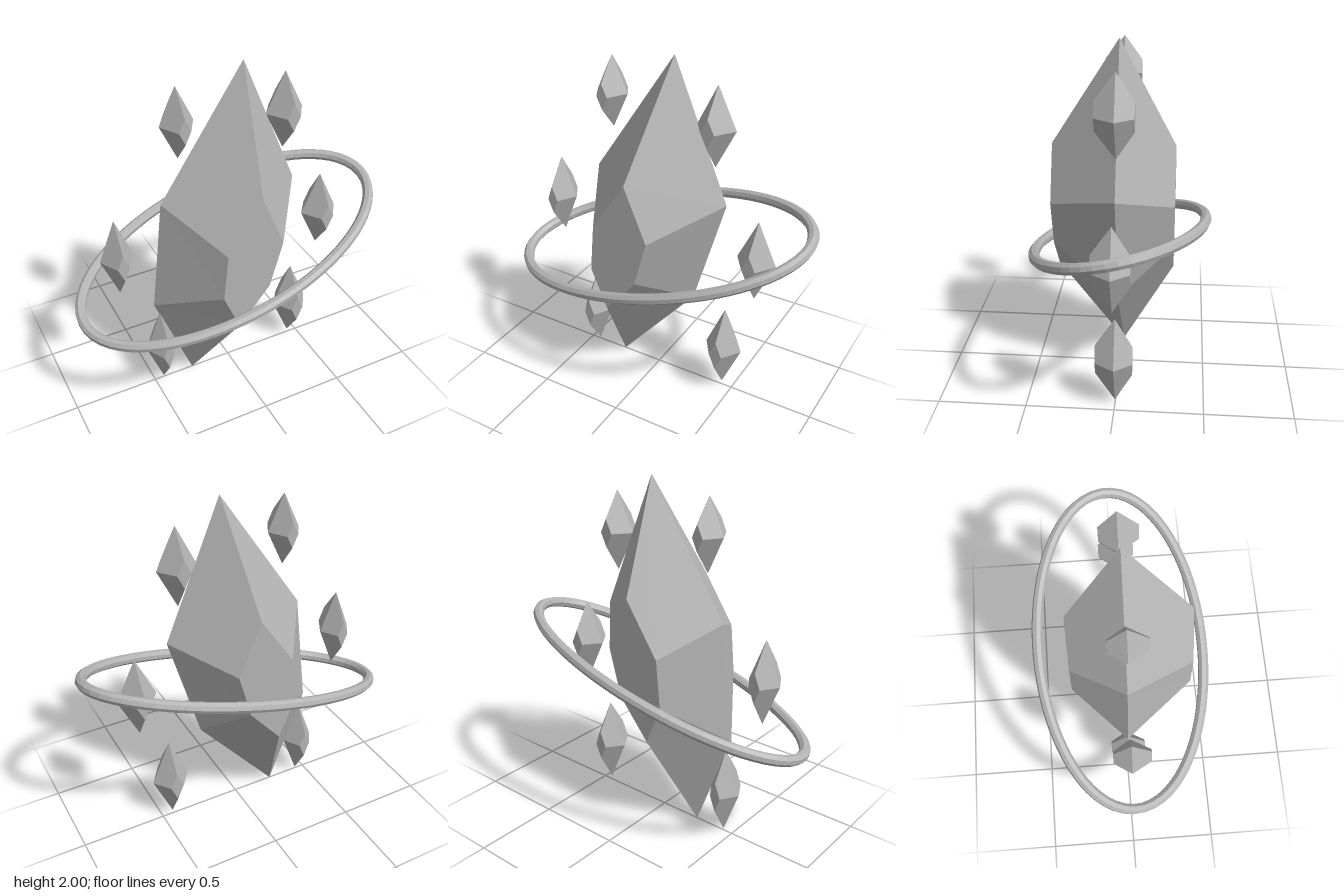
import * as THREE from 'three';

const stone = new THREE.MeshStandardMaterial({ color: 0xb4b4b4 });
stone.name = 'grey stone';
stone.flatShading = true;

// Faceted gem: an outline at z = 0 rising to a smaller flat facet in front and behind.
// Both loops run counter-clockwise seen from the front.
function gemGeometry(outline, facet, front, back) {
  const pos = [];
  const n = outline.length;
  for (const [z, flip] of [[front, false], [-back, true]]) {
    const tri = (a, b, c) => pos.push(...a, ...(flip ? c : b), ...(flip ? b : c));
    const rim = outline.map(([x, y]) => [x, y, 0]);
    const top = facet.map(([x, y]) => [x, y, z]);
    for (let i = 0; i < n; i++) {
      const j = (i + 1) % n;
      tri(rim[i], rim[j], top[j]);
      tri(rim[i], top[j], top[i]);
      if (i > 0 && i < n - 1) tri(top[0], top[i], top[i + 1]);
    }
  }
  const geo = new THREE.BufferGeometry();
  geo.setAttribute('position', new THREE.Float32BufferAttribute(pos, 3));
  geo.computeVertexNormals();
  return geo;
}

function add(group, name, geometry) {
  const mesh = new THREE.Mesh(geometry, stone);
  mesh.name = name;
  group.add(mesh);
  return mesh;
}

export function createModel() {
  const model = new THREE.Group();
  model.name = 'floatingCrystal';

  // Large leaning crystal
  add(model, 'mainCrystal', gemGeometry(
    [[0.09, 2], [-0.4, 1.27], [-0.475, 0.595], [-0.25, 0], [0.23, 0.57], [0.415, 1.22]],
    [[0.01, 1.4], [-0.19, 1.105], [-0.215, 0.83], [-0.12, 0.6], [0.065, 0.82], [0.14, 1.09]],
    0.38, 0.305));

  // Tilted oval ring
  const points = [];
  for (let i = 0; i < 64; i++) {
    const a = (i / 64) * Math.PI * 2;
    const x = 0.895 * Math.cos(a), z = 0.48 * Math.sin(a);
    points.push(new THREE.Vector3(x, 0.875 + 0.262 * x - 0.22 * z, z));
  }
  const path = new THREE.CatmullRomCurve3(points, true);
  add(model, 'ring', new THREE.TubeGeometry(path, 80, 0.031, 8, true));

  // Small shards around the crystal: centre x, centre y, half width, half height
  const shards = [
    [-0.29, 1.733, 0.095, 0.205], [0.34, 1.658, 0.112, 0.228],
    [-0.668, 1.011, 0.095, 0.241], [0.606, 0.933, 0.114, 0.244],
    [-0.442, 0.267, 0.095, 0.258], [0.436, 0.288, 0.112, 0.263],
  ];
  for (const [x, y, w, h] of shards) {
    const diamond = (s) => [[0, h * s], [-w * s, 0], [0, -h * s], [w * s, 0]];
    add(model, 'shard', gemGeometry(diamond(1), diamond(0.35), 0.11, 0.097)).position.set(x, y, 0);
  }
  return model;
}
